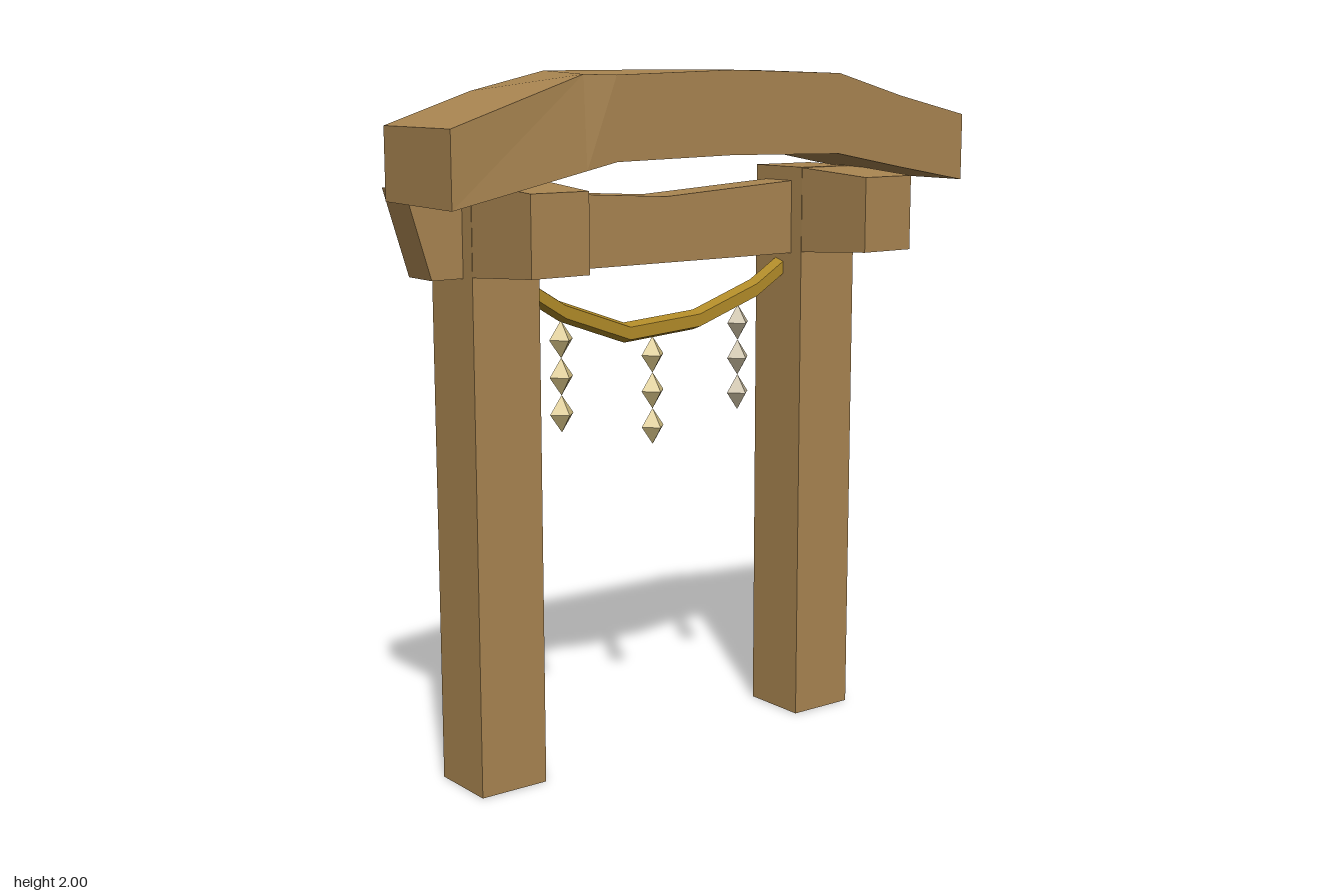
import * as THREE from 'three';

const wood = new THREE.MeshStandardMaterial({ name: 'wood', color: 0xa98551, flatShading: true });
const ropeGold = new THREE.MeshStandardMaterial({ name: 'ropeGold', color: 0xb08a28, flatShading: true });
const paleGold = new THREE.MeshStandardMaterial({ name: 'paleGold', color: 0xd4c184, flatShading: true });
const paleGrey = new THREE.MeshStandardMaterial({ name: 'paleGrey', color: 0xbcb094, flatShading: true });

// Skin rings of [x, y, z] laid out along +x; each ring runs top, back, bottom, front
function loft(rings) {
  const n = rings[0].length, last = (rings.length - 1) * n, index = [];
  for (let i = 0; i < rings.length - 1; i++) {
    for (let k = 0; k < n; k++) {
      const a0 = i * n + k, a1 = i * n + (k + 1) % n;
      index.push(a0, a0 + n, a1 + n, a0, a1 + n, a1);
    }
  }
  for (let k = 1; k < n - 1; k++) {
    index.push(0, k, k + 1, last, last + k + 1, last + k);
  }
  const g = new THREE.BufferGeometry();
  g.setAttribute('position', new THREE.Float32BufferAttribute(rings.flat(2), 3));
  g.setIndex(index);
  const flat = g.toNonIndexed();
  flat.computeVertexNormals();
  return flat;
}

export function createModel() {
  const model = new THREE.Group();
  model.name = 'woodenGate';
  const add = (name, geometry, material, x = 0, y = 0, z = 0) => {
    const mesh = new THREE.Mesh(geometry, material);
    mesh.name = name;
    mesh.position.set(x, y, z);
    model.add(mesh);
    return mesh;
  };

  // Arched top beam: front x, top y, bottom y, z, then back x, top y, bottom y
  const roof = [
    [-0.885, 1.86, 1.66, 0.24, -0.88, 1.86, 1.665],
    [-0.48, 1.99, 1.745, 0.226, -0.62, 1.945, 1.716],
    [-0.385, 1.988, 1.765, 0.24, -0.385, 1.998, 1.765],
    [0, 2.0, 1.772, 0.24, 0, 2.0, 1.772],
    [0.39, 1.99, 1.765, 0.24, 0.385, 1.997, 1.765],
    [0.63, 1.925, 1.72, 0.24, 0.61, 1.92, 1.722],
    [0.885, 1.868, 1.675, 0.24, 0.885, 1.868, 1.675],
  ];
  add('topBeam', loft(roof.map(([fx, ft, fb, fz, bx, bt, bb]) => [
    [fx, ft, fz], [bx, bt, -0.1], [bx, bb, -0.1], [fx, fb, fz === 0.24 ? fz : 0.24],
  ])), wood);

  // Lower beam with slanted ends: top x, top y, bottom x
  const lower = [
    [-0.835, 1.695, -0.76], [-0.45, 1.67, -0.45], [0.02, 1.642, 0.02],
    [0.49, 1.67, 0.49], [0.877, 1.69, 0.8],
  ];
  add('lowerBeam', loft(lower.map(([tx, ty, bx]) => [
    [tx, ty, -0.08], [tx, ty, -0.2], [bx, 1.452, -0.2], [bx, 1.452, -0.08],
  ])), wood);

  // Posts, each with a tapered bracket reaching forward under the top beam
  for (const [side, x] of [['right', -0.558], ['left', 0.598]]) {
    add(side + 'Post', new THREE.BoxGeometry(0.212, 1.712, 0.21), wood, x, 0.856, -0.138);
    const bracket = new THREE.BoxGeometry(0.21, 0.253, 0.265);
    const p = bracket.attributes.position;
    for (let i = 0; i < p.count; i++) {
      if (p.getZ(i) > 0) p.setXY(i, p.getX(i) * 0.86, p.getY(i) * 0.86);
    }
    bracket.computeVertexNormals();
    add(side + 'Bracket', bracket, wood, x, 1.584, 0.0965);
  }

  // Sagging rope between the posts
  const sag = [
    [-0.465, 1.425], [-0.31, 1.33], [-0.085, 1.25], [0.17, 1.268], [0.39, 1.343], [0.505, 1.412],
  ];
  add('rope', loft(sag.map(([x, y]) => Array.from({ length: 5 }, (_, k) => {
    const t = k / 5 * Math.PI * 2 + 0.35;
    return [x, y + 0.031 * Math.cos(t), -0.14 - 0.031 * Math.sin(t)];
  }))), ropeGold);

  // Hanging strings of three diamond charms
  const diamond = new THREE.OctahedronGeometry(1);
  const strings = [[-0.308, 1.25, paleGold], [0.015, 1.177, paleGold], [0.338, 1.246, paleGrey]];
  for (const [x, top, material] of strings) {
    for (let i = 0; i < 3; i++) {
      add('charm', diamond, material, x, top - i * 0.107, -0.145).scale.set(0.04, 0.054, 0.04);
    }
  }
  return model;
}
